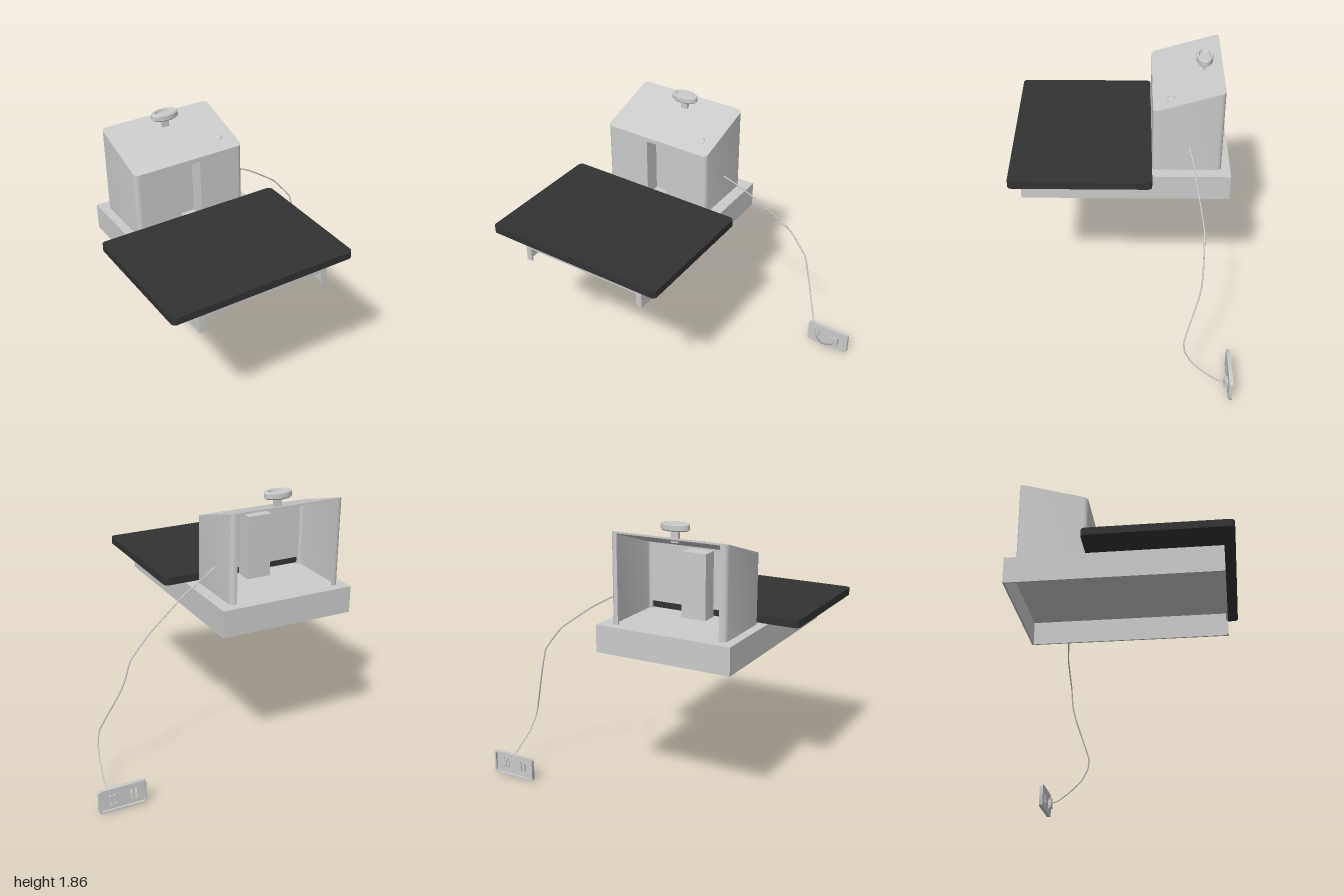
import * as THREE from 'three';
import { toCreasedNormals } from 'three/addons/utils/BufferGeometryUtils.js';

const grey = new THREE.MeshStandardMaterial({ color: 0xcccccc });
const black = new THREE.MeshStandardMaterial({ color: 0x333333 });

function add(parent, name, geometry, material = grey) {
  const mesh = new THREE.Mesh(geometry, material);
  mesh.name = name;
  parent.add(mesh);
  return mesh;
}

// Box given by its minimum and maximum along each axis
function box(x0, x1, y0, y1, z0, z1) {
  const g = new THREE.BoxGeometry(x1 - x0, y1 - y0, z1 - z0);
  return g.translate((x0 + x1) / 2, (y0 + y1) / 2, (z0 + z1) / 2);
}

function roundedRect(x0, x1, y0, y1, r) {
  const s = new THREE.Shape();
  s.absarc(x1 - r, y0 + r, r, -Math.PI / 2, 0);
  s.absarc(x1 - r, y1 - r, r, 0, Math.PI / 2);
  s.absarc(x0 + r, y1 - r, r, Math.PI / 2, Math.PI);
  s.absarc(x0 + r, y0 + r, r, Math.PI, Math.PI * 1.5);
  s.closePath();
  return s;
}

// Upright prism over a footprint drawn in (x, -z); bottom and top heights depend on z
function prism(shape, bottom, top) {
  const g = new THREE.ExtrudeGeometry(shape, { depth: 1, bevelEnabled: false, curveSegments: 6 });
  g.rotateX(-Math.PI / 2);
  const p = g.attributes.position;
  for (let i = 0; i < p.count; i++) {
    p.setY(i, p.getY(i) > 0.5 ? top(p.getZ(i)) : bottom(p.getZ(i)));
  }
  return toCreasedNormals(g, 0.6);
}

// Upright panel drawn in (x, y), from z0 to z1
function panel(shape, z0, z1) {
  const g = new THREE.ExtrudeGeometry(shape, { depth: z1 - z0, bevelEnabled: false, curveSegments: 6 });
  return toCreasedNormals(g.translate(0, 0, z0), 0.6);
}

const roofY = (z) => 1.65 + (0.14 * (-0.2 - z)) / 0.46;

// Tray open below, with a wide notch in its front wall
function buildBase() {
  const base = new THREE.Group();
  base.name = 'base';
  const t = 0.012;
  add(base, 'baseTop', box(-0.79, 0.14, 1.188, 1.2, -0.72, 0.67));
  add(base, 'baseBack', box(-0.79, 0.14, 1.02, 1.19, -0.72, -0.72 + t));
  add(base, 'baseSideRight', box(-0.79, -0.79 + t, 1.02, 1.19, -0.715, 0.665));
  add(base, 'baseSideLeft', box(0.14 - t, 0.14, 1.02, 1.19, -0.715, 0.665));
  const front = new THREE.Shape([
    [-0.79, 1.02], [-0.75, 1.02], [-0.75, 1.12], [0.1, 1.12],
    [0.1, 1.02], [0.14, 1.02], [0.14, 1.19], [-0.79, 1.19],
  ].map(([x, y]) => new THREE.Vector2(x, y)));
  add(base, 'baseFront', panel(front, 0.67 - t, 0.67));
  return base;
}

// Housing with a sloping roof, open at the back
function buildHousing() {
  const housing = new THREE.Group();
  housing.name = 'housing';
  const cx = -0.335, w = 0.395, t = 0.012, r = 0.03;

  // Side walls wrap round the corners
  for (const s of [-1, 1]) {
    const pts = [];
    const arc = (radius, y, from, to) => {
      for (let i = 0; i <= 5; i++) {
        const a = from + ((to - from) * i) / 5;
        pts.push(new THREE.Vector2(cx + s * (w - r + radius * Math.cos(a)), y + radius * Math.sin(a)));
      }
    };
    const q = Math.PI / 2;
    arc(r, 0.2 + r, -q, 0);
    arc(r, 0.66 - r, 0, q);
    pts.push(new THREE.Vector2(cx + s * (w - 0.045), 0.66), new THREE.Vector2(cx + s * (w - 0.045), 0.66 - t));
    arc(r - t, 0.66 - r, q, 0);
    arc(r - t, 0.2 + r, 0, -q);
    add(housing, s > 0 ? 'sideWallLeft' : 'sideWallRight',
      prism(new THREE.Shape(pts), () => 1.2, (z) => roofY(z) - 0.004));
  }

  // Front wall with a tall slot
  const wall = new THREE.Shape([
    [-0.7, 1.25], [-0.41, 1.25], [-0.41, 1.62], [-0.26, 1.62],
    [-0.26, 1.25], [0.03, 1.25], [0.03, 1.646], [-0.7, 1.646],
  ].map(([x, y]) => new THREE.Vector2(x, y)));
  add(housing, 'frontWall', panel(wall, -0.2 - t, -0.2));

  // Channel recessed behind the slot
  add(housing, 'channelBack', box(-0.42, -0.25, 1.2, 1.63, -0.32, -0.31));
  add(housing, 'channelSideRight', box(-0.42, -0.41, 1.2, 1.63, -0.31, -0.205));
  add(housing, 'channelSideLeft', box(-0.26, -0.25, 1.2, 1.63, -0.31, -0.205));
  add(housing, 'channelTop', box(-0.41, -0.26, 1.62, 1.63, -0.31, -0.205));

  add(housing, 'roof', prism(roundedRect(cx - w, cx + w, 0.2, 0.66, r), (z) => roofY(z) - t, roofY));
  return housing;
}

// Oval knob with a dished top on a flat stem
function buildKnob() {
  const knob = new THREE.Group();
  knob.name = 'knob';
  const profile = [[0, 0], [0.085, 0], [0.095, 0.008], [0.095, 0.037], [0.088, 0.045], [0.07, 0.045], [0.062, 0.03], [0, 0.03]]
    .map(([x, y]) => new THREE.Vector2(x, y));
  const disc = toCreasedNormals(new THREE.LatheGeometry(profile, 32), 0.5);
  add(knob, 'knobHead', disc.scale(1, 1, 0.58).translate(-0.325, 1.81, -0.54));
  add(knob, 'knobStem', box(-0.35, -0.3, 1.735, 1.815, -0.552, -0.528));
  return knob;
}

// Wall socket plate with a rim behind, and the plug in its left outlet
function buildSocket() {
  const socket = new THREE.Group();
  socket.name = 'socket';
  const face = roundedRect(0.68, 1, 0, 0.165, 0.02);
  const slots = [0.746, 0.777, 0.89, 0.921];
  for (const x of slots) face.holes.push(roundedRect(x - 0.009, x + 0.009, 0.045, 0.115, 0.001));
  add(socket, 'socketPlate', panel(face, -0.725, -0.715));
  const rim = roundedRect(0.68, 1, 0, 0.165, 0.02);
  rim.holes.push(roundedRect(0.692, 0.988, 0.012, 0.153, 0.012));
  add(socket, 'socketRim', panel(rim, -0.74, -0.725));

  add(socket, 'plugBody', box(0.88, 0.93, 0.045, 0.12, -0.701, -0.69));
  for (const x of slots.slice(2)) add(socket, 'plugProng', box(x - 0.007, x + 0.007, 0.06, 0.105, -0.727, -0.7));
  return socket;
}

export function createModel() {
  const model = new THREE.Group();
  model.name = 'deskAppliance';
  model.add(buildBase(), buildHousing(), buildKnob(), buildSocket());

  add(model, 'tabletop', prism(roundedRect(-1, 0.29, -0.74, 0.2, 0.03), () => 1.205, () => 1.255), black);

  // Indicator button lying on the sloping roof
  const button = add(model, 'button', new THREE.SphereGeometry(0.026, 20, 12));
  button.scale.y = 0.4;
  button.position.set(-0.05, roofY(-0.315), -0.315);
  button.rotation.x = Math.atan(0.14 / 0.46);

  // Power cord
  const cord = new THREE.CatmullRomCurve3([
    [0.05, 1.385, -0.44], [0.15, 1.33, -0.465], [0.31, 1.24, -0.49], [0.54, 1.07, -0.53],
    [0.68, 0.9, -0.525], [0.72, 0.76, -0.518], [0.755, 0.66, -0.495], [0.855, 0.41, -0.415],
    [0.875, 0.33, -0.42], [0.89, 0.24, -0.47], [0.905, 0.16, -0.56], [0.912, 0.1, -0.645], [0.905, 0.082, -0.695],
  ].map((p) => new THREE.Vector3(...p)), false, 'catmullrom', 0.2);
  add(model, 'cord', new THREE.TubeGeometry(cord, 120, 0.005, 8));
  return model;
}
